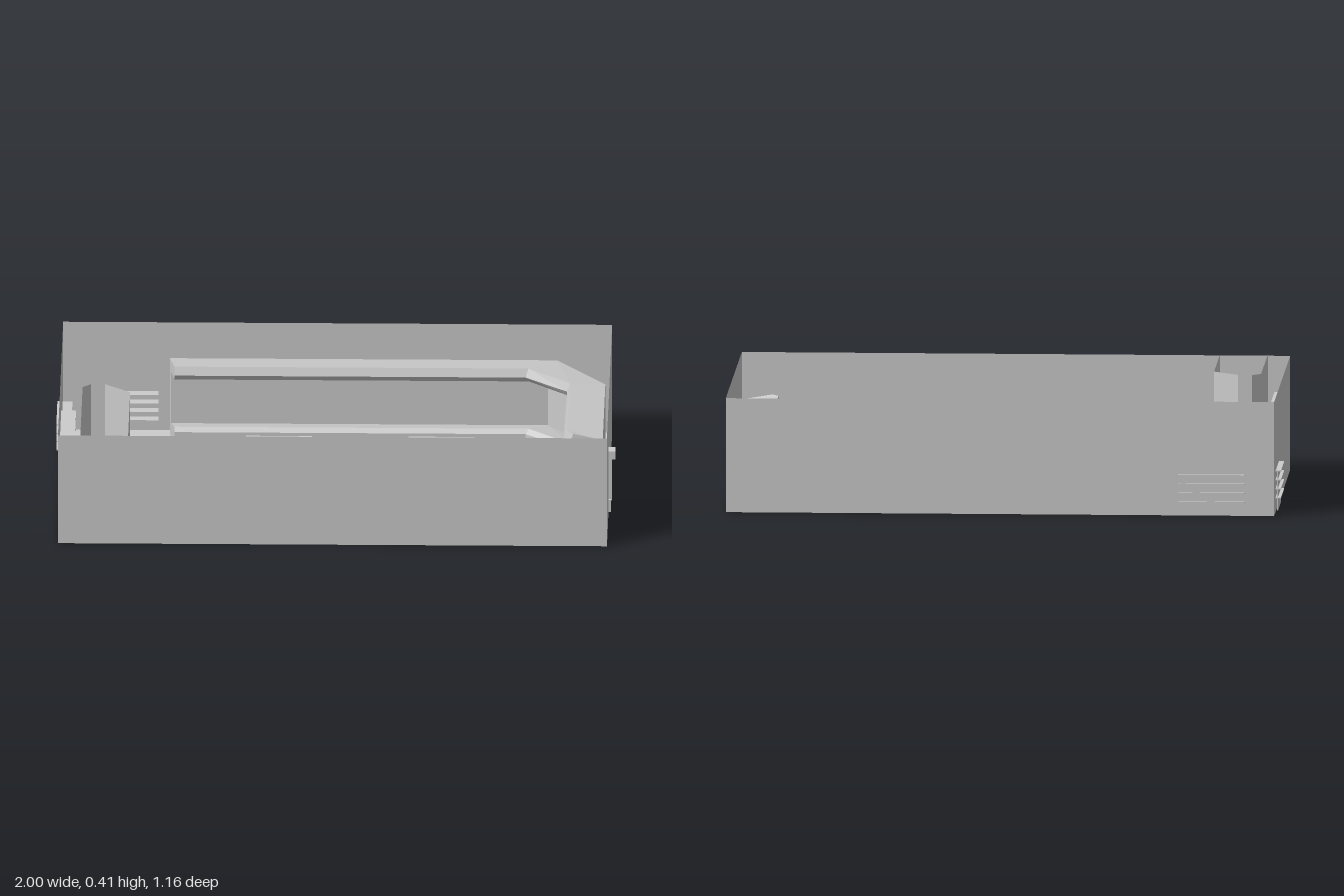
import * as THREE from 'three';

const material = new THREE.MeshStandardMaterial({ color: 0xcccccc, flatShading: true, side: THREE.DoubleSide });

function add(parent, name, geometry) {
  const mesh = new THREE.Mesh(geometry, material);
  mesh.name = name;
  parent.add(mesh);
  return mesh;
}

// Box given by its limits on each axis
function box(parent, name, x0, x1, y0, y1, z0, z1) {
  const mesh = add(parent, name, new THREE.BoxGeometry(x1 - x0, y1 - y0, z1 - z0));
  mesh.position.set((x0 + x1) / 2, (y0 + y1) / 2, (z0 + z1) / 2);
  return mesh;
}

// Upright sheet following a line of [x, z] points
function sheet(parent, name, points, y0, y1) {
  const pos = [], index = [];
  points.forEach(([x, z], i) => {
    pos.push(x, y0, z, x, y1, z);
    if (i) index.push(2 * i - 2, 2 * i, 2 * i - 1, 2 * i, 2 * i + 1, 2 * i - 1);
  });
  const g = new THREE.BufferGeometry();
  g.setAttribute('position', new THREE.Float32BufferAttribute(pos, 3));
  g.setIndex(index);
  g.computeVertexNormals();
  return add(parent, name, g);
}

// Sweep a closed profile of [t, y] between a back path (t = 0) and a front path (t = 1)
function sweep(parent, name, back, front, profile) {
  const n = profile.length, pos = [], index = [];
  back.forEach(([bx, bz], s) => {
    const [fx, fz] = front[s];
    for (const [t, y] of profile) pos.push(bx + (fx - bx) * t, y, bz + (fz - bz) * t);
    if (!s) return;
    for (let i = 0; i < n; i++) {
      const a = (s - 1) * n + i, b = (s - 1) * n + (i + 1) % n;
      index.push(a, b, a + n, b, b + n, a + n);
    }
  });
  const caps = THREE.ShapeUtils.triangulateShape(profile.map(([t, y]) => new THREE.Vector2(t, y)), []);
  const last = (back.length - 1) * n;
  for (const [a, b, c] of caps) index.push(a, c, b, last + a, last + b, last + c);
  const g = new THREE.BufferGeometry();
  g.setAttribute('position', new THREE.Float32BufferAttribute(pos, 3));
  g.setIndex(index);
  const flat = g.toNonIndexed();
  flat.computeVertexNormals();
  return add(parent, name, flat);
}

// Stepped display stand: three plates on narrower blocks
function displayStand(x, z) {
  const stand = new THREE.Group();
  stand.name = 'displayStand';
  [[0.39, 0.115, 0.03], [0.31, 0.075, 0.085], [0.235, 0.055, 0.14]].forEach(([w, d, y], i) => {
    const bottom = i ? y - 0.05 : 0, bw = w * 0.84, bd = d * 0.7;
    box(stand, 'standBlock', -bw / 2, bw / 2, bottom, y, -bd / 2, bd / 2);
    box(stand, 'standPlate', -w / 2, w / 2, y, y + 0.005, -d / 2, d / 2);
  });
  stand.position.set(x, 0, z);
  return stand;
}

// Small wall rack: four thin shelves on an upright panel
function wallRack(x, z, turn) {
  const rack = new THREE.Group();
  rack.name = 'wallRack';
  box(rack, 'rackPanel', -0.11, 0.11, 0.003, 0.145, -0.016, -0.012);
  for (let i = 0; i < 4; i++) {
    const y = 0.05 + i * 0.032;
    box(rack, 'rackShelf', -0.117, 0.117, y - 0.002, y + 0.002, -0.027, 0.027);
  }
  rack.position.set(x, 0, z);
  rack.rotation.y = turn;
  return rack;
}

export function createModel() {
  const model = new THREE.Group();
  model.name = 'shopRoom';
  const L = -0.98, R = 0.975, B = -0.57, F = 0.58;

  // Open-topped shell
  const floor = add(model, 'floor', new THREE.PlaneGeometry(R - L, F - B).rotateX(-Math.PI / 2));
  floor.position.set((L + R) / 2, 0, (B + F) / 2);
  sheet(model, 'walls', [[L, B], [L, F], [R, F], [R, B], [L, B]], 0, 0.41);

  // Chilled cabinet along the back and left walls
  sweep(model, 'chilledCabinet',
    [[-0.6, -0.54], [0.78, -0.54], [0.955, -0.3], [0.955, 0.265], [0.96, 0.268]],
    [[-0.58, -0.39], [0.67, -0.39], [0.82, -0.25], [0.815, 0.215], [0.84, 0.255]],
    [[0, 0], [1, 0], [1, 0.06], [0.9, 0.075], [0.3, 0.055], [0.3, 0.25],
      [0.9, 0.255], [1, 0.275], [0.92, 0.305], [0, 0.285]]);

  // Bracket of the cabinet end, showing outside the wall
  const bracket = new THREE.Group();
  bracket.name = 'endBracket';
  box(bracket, 'bracketPost', 0.955, 0.987, 0.05, 0.21, 0.235, 0.248);
  box(bracket, 'bracketTop', 0.955, 1.0, 0.205, 0.235, 0.2, 0.248);
  box(bracket, 'bracketFoot', 0.955, 0.984, 0.01, 0.055, 0.225, 0.26);
  model.add(bracket);

  // Display stands in the middle of the floor
  for (const x of [-0.205, 0.375]) for (const z of [-0.105, 0.185]) model.add(displayStand(x, z));

  // Racks in the back corner
  model.add(wallRack(-0.757, -0.557, 0), wallRack(-0.972, -0.345, Math.PI / 2));

  // Bent service counter with a raised section
  sweep(model, 'serviceCounter',
    [[-0.96, -0.06], [-0.8, -0.05], [-0.72, 0.01], [-0.73, 0.35]],
    [[-0.96, -0.16], [-0.71, -0.13], [-0.62, -0.03], [-0.625, 0.35]],
    [[0.1, 0], [0.85, 0], [0.85, 0.06], [1, 0.075], [0.75, 0.095], [0, 0.095], [0, 0.08], [0.1, 0.075]]);
  box(model, 'raisedCounter', -0.73, -0.625, 0, 0.14, 0.35, 0.51);
  box(model, 'counterEnd', -0.73, -0.64, 0, 0.095, 0.51, F);

  // Full-height partition round the service area
  sheet(model, 'partition',
    [[-0.9, F], [-0.9, 0.1], [-0.87, 0.07], [-0.82, 0.07], [-0.73, 0.15], [-0.73, F]], 0, 0.414);

  // Shelving against the side wall
  const shelving = new THREE.Group();
  shelving.name = 'sideShelving';
  box(shelving, 'shelvingBack', -0.978, -0.94, 0, 0.28, -0.01, 0.56);
  for (const y of [0.02, 0.105, 0.19, 0.275]) box(shelving, 'sideShelf', -0.978, -0.925, y, y + 0.008, -0.01, 0.56);
  model.add(shelving);

  return model;
}
